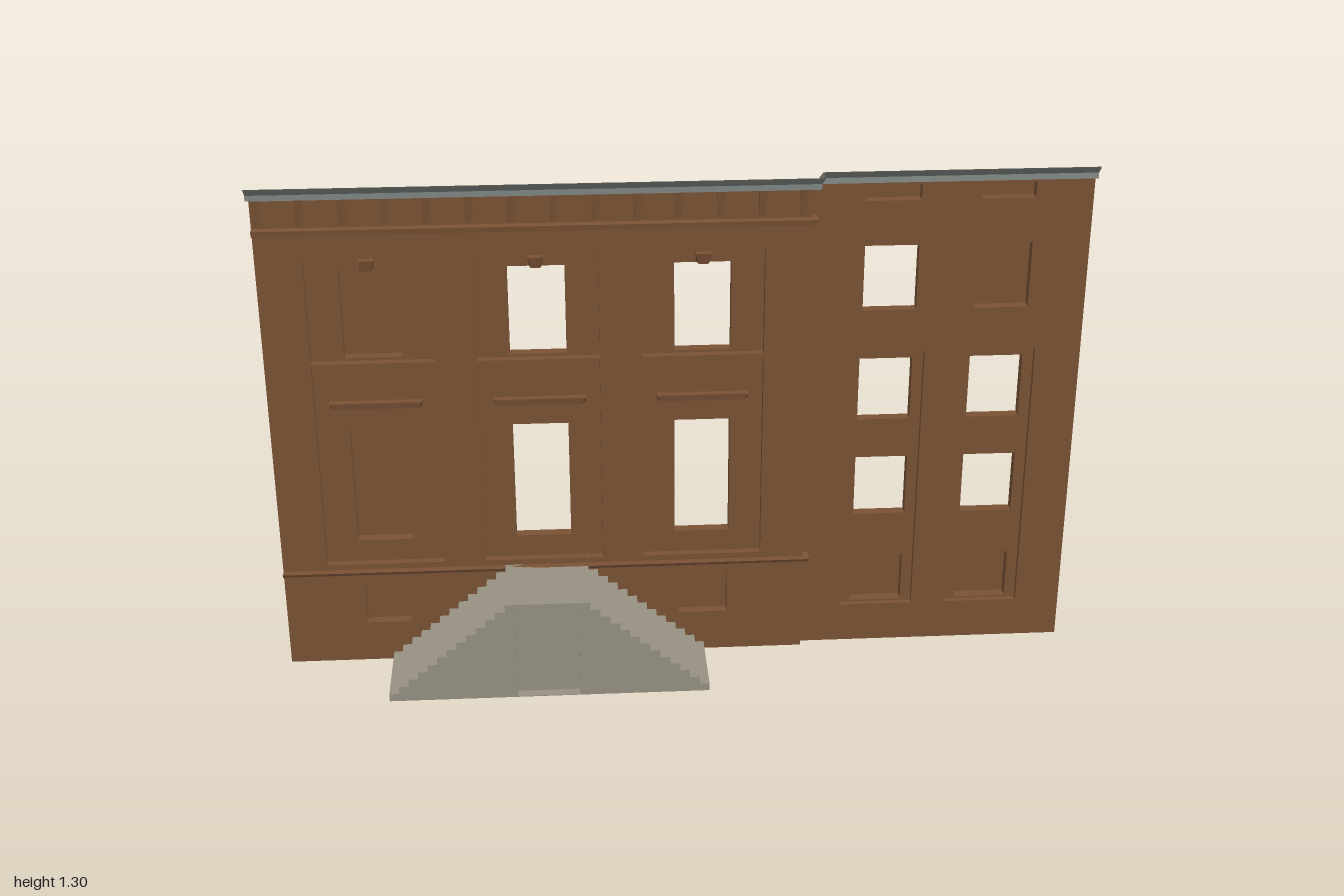
import * as THREE from 'three';

const mat = (name, color) => {
  const m = new THREE.MeshStandardMaterial({ color, side: THREE.DoubleSide });
  m.name = name;
  return m;
};

export function createModel() {
  const root = new THREE.Group();
  root.name = 'townhouseFacade';
  const brown = mat('brownstone', 0x7a5235);
  const stone = mat('warmGreyStone', 0x979183);
  const slate = mat('slateFace', 0x7f8682);

  const add = (name, geo, material, parent = root) => {
    const m = new THREE.Mesh(geo, material);
    m.name = name;
    parent.add(m);
  };
  const group = (name) => {
    const g = new THREE.Group();
    g.name = name;
    root.add(g);
    return g;
  };

  // Flat-shaded skin joining equal-length cross-sections
  const loft = (sections, closed = false, cap = false) => {
    const n = sections[0].length, idx = [];
    for (let s = 0; s < sections.length - 1; s++) {
      for (let i = 0; i < (closed ? n : n - 1); i++) {
        const a = s * n + i, b = s * n + (i + 1) % n;
        idx.push(a, b, b + n, a, b + n, a + n);
      }
    }
    if (cap) {
      const o = (sections.length - 1) * n;
      idx.push(o, o + 1, o + 2, o, o + 2, o + 3);
    }
    const g = new THREE.BufferGeometry();
    g.setAttribute('position', new THREE.Float32BufferAttribute(sections.flat(2), 3));
    g.setIndex(idx);
    const flat = g.toNonIndexed();
    flat.computeVertexNormals();
    return flat;
  };

  // Rectangles are [x0, x1, y0, y1]
  const corners = ([x0, x1, y0, y1]) => [[x0, y0], [x1, y0], [x1, y1], [x0, y1]];
  const around = (cx, half, y0, y1) => [cx - half, cx + half, y0, y1];

  // Thin wall sheet with rectangular holes
  const sheet = (name, rect, z, holes, parent) => {
    const pts = (r) => corners(r).map(([x, y]) => new THREE.Vector2(x, y));
    const shape = new THREE.Shape(pts(rect));
    holes.forEach((h) => shape.holes.push(new THREE.Path(pts(h))));
    add(name, new THREE.ShapeGeometry(shape).translate(0, 0, z), brown, parent);
  };

  // Hollow pocket pushed into or out of a sheet; taper narrows its lower end.
  // Corners run clockwise for outward pockets so faces point to the front.
  const pocket = (name, rect, z0, zBottom, zTop, closed, parent, taper = 0) => {
    const c = corners(rect);
    const inset = [taper, -taper, 0, 0];
    add(name, loft([
      c.map(([x, y]) => [x, y, z0]),
      c.map(([x, y], i) => [x + inset[i], y, i < 2 ? zBottom : zTop]),
    ], true, closed), brown, parent);
  };

  const MAIN = -0.07, WING = -0.09, TOP = 1.257, JOIN = 0.32;

  // Main front: basement, middle and frieze bands
  const main = group('mainFront');
  const basementWindows = [[-0.798, -0.685, 0.11, 0.225], [0.002, 0.125, 0.11, 0.225]];
  sheet('basementWall', [-1, JOIN, 0, 0.25], MAIN, basementWindows, main);
  basementWindows.forEach((r) => pocket('basementWindow', r, MAIN, -0.095, -0.095, true, main));

  const holes = [];
  [-0.74, -0.34, 0.061].forEach((cx, i) => {
    const closed = i === 0;
    const upper = around(cx, 0.149, 0.831, 1.1);
    const lower = around(cx, 0.149, 0.28, 0.822);
    holes.push(upper, lower);
    pocket('upperPanelReveal', upper, MAIN, WING, WING, false, main);
    pocket('lowerPanelReveal', lower, MAIN, WING, WING, false, main);

    const upperWindow = around(cx, 0.069, 0.838, 1.066);
    const lowerWindow = around(cx, 0.069, 0.338, 0.65);
    const keystone = around(cx, 0.018, 1.069, 1.097);
    const lintel = around(cx, 0.113, 0.708, 0.725);
    sheet('upperPanel', upper, WING, [upperWindow, keystone], main);
    sheet('lowerPanel', lower, WING, [lowerWindow, lintel], main);
    pocket('upperWindow', upperWindow, WING, -0.118, -0.118, closed, main);
    pocket('lowerWindow', lowerWindow, WING, -0.118, -0.118, closed, main);
    pocket('keystone', keystone, WING, -0.066, -0.059, true, main, 0.007);
    pocket('lintel', lintel, WING, -0.074, -0.071, true, main, 0.012);
  });
  sheet('middleWall', [-1, JOIN, 0.265, 1.163], MAIN, holes, main);

  // Frieze with a row of hollow brackets
  const brackets = [];
  for (let i = 0; i < 14; i++) brackets.push(around(-0.985 + i * 0.0988, 0.009, 1.186, 1.252));
  sheet('friezeWall', [-1, JOIN, 1.18, TOP], MAIN, brackets, main);
  brackets.forEach((r) => pocket('corniceBracket', r, MAIN, -0.068, -0.059, true, main, 0.003));

  // Horizontal mouldings, turning the corner towards the wing
  const moulding = (name, profile) => add(name, loft([
    profile.map(([d, y]) => [-1, y, MAIN + d]),
    profile.map(([d, y]) => [JOIN + d * 0.8, y, MAIN + d]),
    profile.map(([d, y]) => [JOIN + d * 0.8, y, WING]),
  ]), brown, main);
  moulding('stringCourse', [[0, 0.25], [0.014, 0.256], [0.019, 0.265], [0, 0.265]]);
  moulding('friezeMoulding', [[0, 1.163], [0.015, 1.165], [0.017, 1.178], [0, 1.18]]);

  // Return between the main front and the set-back wing
  add('wallReturn', loft([
    [[JOIN, 0, MAIN], [JOIN, TOP, MAIN]],
    [[JOIN, 0, WING], [JOIN, TOP, WING]],
  ]), brown);

  // Side wing with two window columns
  const wing = group('sideWing');
  const wingHoles = [];
  [0.518, 0.794].forEach((cx, i) => {
    const panel = around(cx, 0.093, 0.105, 0.82);
    const attic = around(cx, 0.066, 0.93, 1.097);
    const vent = around(cx, 0.066, 1.21, 1.25);
    wingHoles.push(panel, attic, vent);
    pocket('panelReveal', panel, WING, -0.105, -0.105, false, wing);
    pocket('atticWindow', attic, WING, -0.117, -0.117, i === 1, wing);
    pocket('atticVent', vent, WING, -0.117, -0.117, true, wing);
    const windows = [[0.11, 0.24], [0.363, 0.525], [0.63, 0.796]]
      .map(([y0, y1]) => around(cx, 0.066, y0, y1));
    sheet('windowPanel', panel, -0.105, windows, wing);
    windows.forEach((r, k) => pocket('wingWindow', r, -0.105, -0.133, -0.133, k === 0, wing));
  });
  sheet('wingWall', [JOIN, 1, 0, TOP], WING, wingHoles, wing);

  // Cornice profile rows are [y, main z, wing z, mitre x]
  const cornice = [
    [1.256, MAIN, WING, 0.32],
    [1.264, -0.02, -0.062, 0.334],
    [1.278, -0.02, -0.064, 0.334],
    [1.297, 0, -0.044, 0.34],
  ];
  const corniceGeo = loft([
    cornice.map(([y, , z]) => [1, y, z]),
    cornice.map(([y, , z, x]) => [x, y, z]),
    cornice.map(([y, z, , x]) => [x, y, z]),
    cornice.map(([y, z]) => [-1, y, z]),
  ]);
  // Slate skin in front, stone skin just behind and above it
  add('corniceFace', corniceGeo, slate);
  add('corniceBack', corniceGeo.clone().translate(-0.001, 0.001, -0.002), stone);

  // Double staircase with a doorway recessed under the landing
  const stairs = group('stairs');
  const stairShape = () => {
    const steps = 13, rise = 0.265 / steps, run = 0.296 / (steps - 1);
    const right = [], left = [];
    for (let i = 0; i < steps; i++) {
      const dx = 0.401 - i * run;
      right.push([dx, i * rise], [dx, (i + 1) * rise]);
      left.unshift([-dx, (i + 1) * rise], [-dx, i * rise]);
    }
    return new THREE.Shape([...right, ...left]
      .map(([x, y]) => new THREE.Vector2(x - 0.335, y)));
  };
  const stairLayer = (name, shape, z0, z1) => add(name,
    new THREE.ExtrudeGeometry(shape, { depth: z1 - z0, bevelEnabled: false })
      .translate(0, 0, z0), stone, stairs);
  const front = stairShape();
  front.holes.push(new THREE.Path(corners([-0.415, -0.26, 0.002, 0.247])
    .map(([x, y]) => new THREE.Vector2(x, y))));
  stairLayer('stairBody', stairShape(), -0.072, 0.11);
  stairLayer('stairFrontWithDoorway', front, 0.11, 0.135);

  return root;
}
